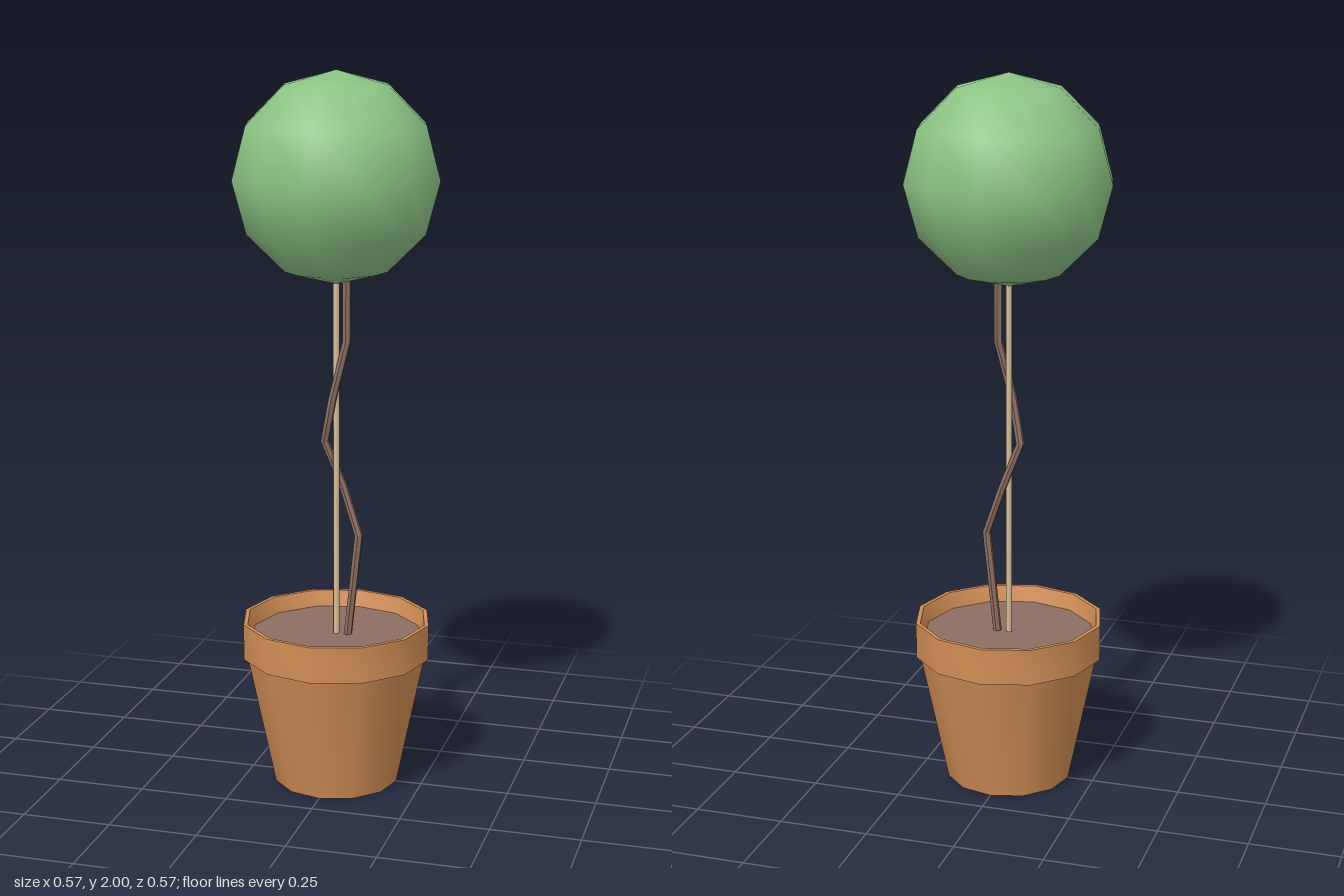
import * as THREE from 'three';
import { toCreasedNormals } from 'three/addons/utils/BufferGeometryUtils.js';

const SIDES = 12;

export function createModel() {
  const model = new THREE.Group();
  model.name = 'pottedTopiary';

  const add = (name, geometry, color, y = 0) => {
    const mesh = new THREE.Mesh(geometry, new THREE.MeshStandardMaterial({ color }));
    mesh.name = name;
    mesh.position.y = y;
    model.add(mesh);
    return mesh;
  };
  const lathe = (profile) => toCreasedNormals(
    new THREE.LatheGeometry(profile.map(([r, y]) => new THREE.Vector2(r, y)), SIDES), 0.7);

  const clay = 0xd18d55, bark = 0x8d6e63;

  // Tapered pot body with a closed base
  add('potBody', lathe([[0, 0], [0.177, 0], [0.255, 0.375]]), clay);

  // Overhanging rim with a sloping inner wall
  add('potRim', lathe([[0.24, 0.373], [0.267, 0.373], [0.267, 0.475], [0.255, 0.475], [0.238, 0.42]]), clay);

  // Soil just below the lip
  add('soil', new THREE.CircleGeometry(0.242, SIDES).rotateX(-Math.PI / 2), bark, 0.43);

  // Straight support stake
  add('stake', new THREE.CylinderGeometry(0.009, 0.009, 1.12, 8), 0xd8bf98, 0.98);

  // Crooked trunk winding round the stake: each ring is shifted to a path point
  const path = [
    [0.033, 0.42, 0], [0.065, 0.72, 0], [0.013, 0.86, -0.02], [-0.033, 0.985, 0],
    [-0.005, 1.11, 0.022], [0.03, 1.27, 0], [0.03, 1.5, 0],
  ];
  const last = path.length - 1;
  const trunk = new THREE.CylinderGeometry(0.012, 0.012, last, 6, last);
  const pos = trunk.attributes.position;
  for (let i = 0; i < pos.count; i++) {
    const [x, y, z] = path[Math.round(pos.getY(i) + last / 2)];
    pos.setXYZ(i, pos.getX(i) + x, y, pos.getZ(i) + z);
  }
  add('trunk', toCreasedNormals(trunk, 0.3), bark);

  // Ball of foliage
  add('foliage', new THREE.SphereGeometry(0.287, SIDES, 6), 0x8cc384, 1.713);

  return model;
}
